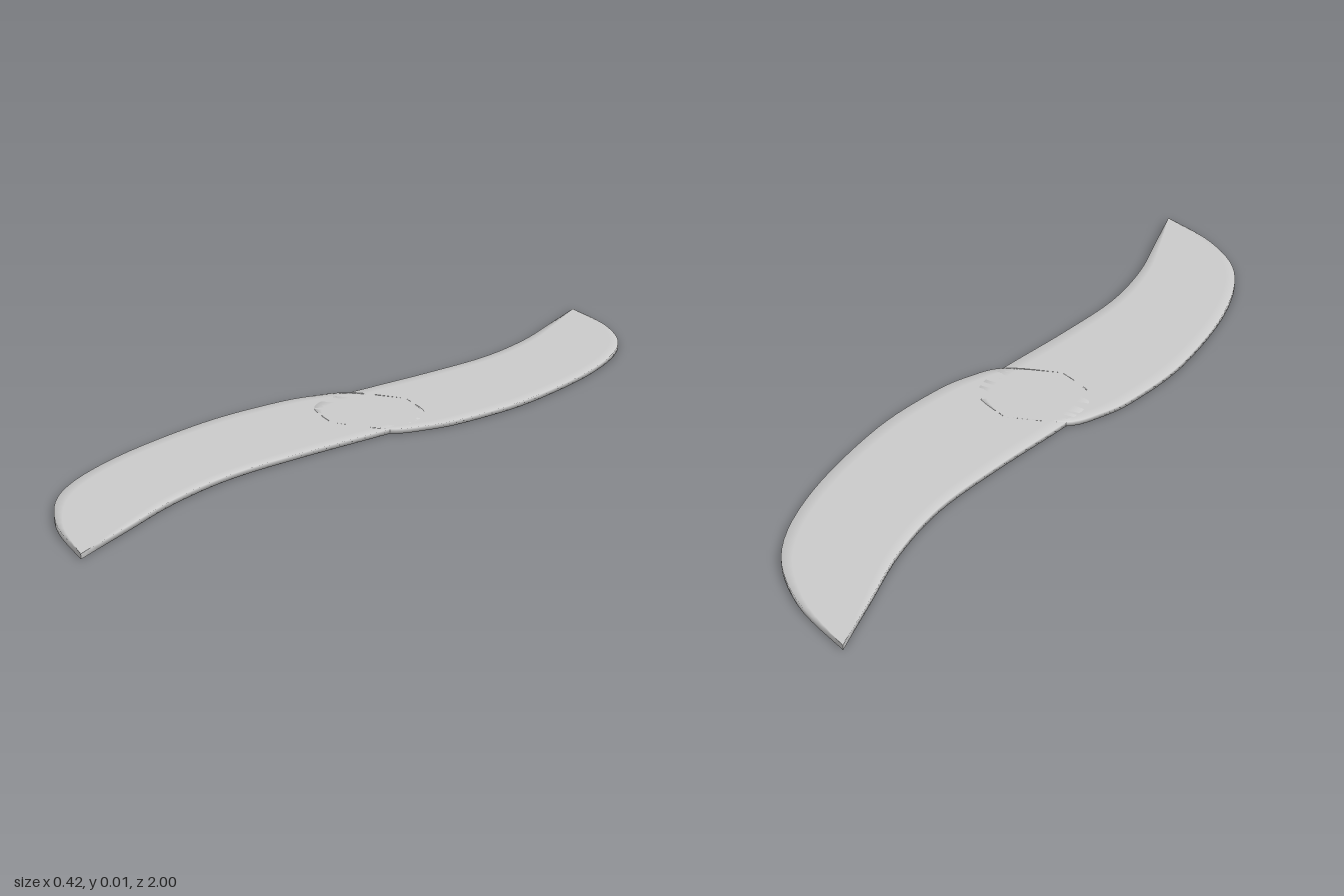
import * as THREE from 'three';

const THICKNESS = 0.01;
const STATIONS = 48;

// Both edges of a blade in the x/z plane, listed from tip to rounded root.
const edge = (pts) => new THREE.SplineCurve(pts.map(([x, z]) => new THREE.Vector2(x, z)));
const concaveEdge = edge([[-0.21, -1], [-0.165, -0.85], [-0.115, -0.68], [-0.09, -0.5], [-0.1, -0.3],
  [-0.12, -0.1], [-0.125, 0], [-0.095, 0.07], [0, 0.12]]);
const convexEdge = edge([[-0.21, -1], [-0.05, -0.92], [0.08, -0.79], [0.16, -0.58], [0.2, -0.3],
  [0.19, -0.1], [0.165, 0], [0.12, 0.075], [0, 0.12]]);

// Cross-section ring: fraction across the blade, fraction of its thickness.
const ring = [[0, 0], [0, 1], [0.1, 1], [0.5, 1], [0.9, 1], [1, 1], [1, 0], [0.9, 0], [0.5, 0], [0.1, 0]];

function bladeGeometry() {
  const positions = [];
  const indices = [];
  const n = ring.length;
  for (let i = 0; i <= STATIONS; i++) {
    const a = concaveEdge.getPoint(i / STATIONS);
    const b = convexEdge.getPoint(i / STATIONS);
    for (const [u, v] of ring) {
      const p = a.clone().lerp(b, u);
      positions.push(p.x, v * THICKNESS, p.y);
    }
    if (i === STATIONS) break;
    for (let j = 0; j < n; j++) {
      const p = i * n + j;
      const q = i * n + (j + 1) % n;
      indices.push(p, p + n, q, q, p + n, q + n);
    }
  }
  const geometry = new THREE.BufferGeometry();
  geometry.setAttribute('position', new THREE.Float32BufferAttribute(positions, 3));
  geometry.setIndex(indices);
  geometry.computeVertexNormals(); // shared corners give softly shaded rims
  return geometry;
}

export function createModel() {
  const group = new THREE.Group();
  group.name = 'propeller';
  const material = new THREE.MeshStandardMaterial({ color: 0xcccccc });
  const geometry = bladeGeometry();

  // Two identical blades, half a turn apart, overlapping at the centre.
  ['backBlade', 'frontBlade'].forEach((name, i) => {
    const blade = new THREE.Mesh(geometry, material);
    blade.name = name;
    blade.rotation.y = i * Math.PI;
    group.add(blade);
  });
  return group;
}
